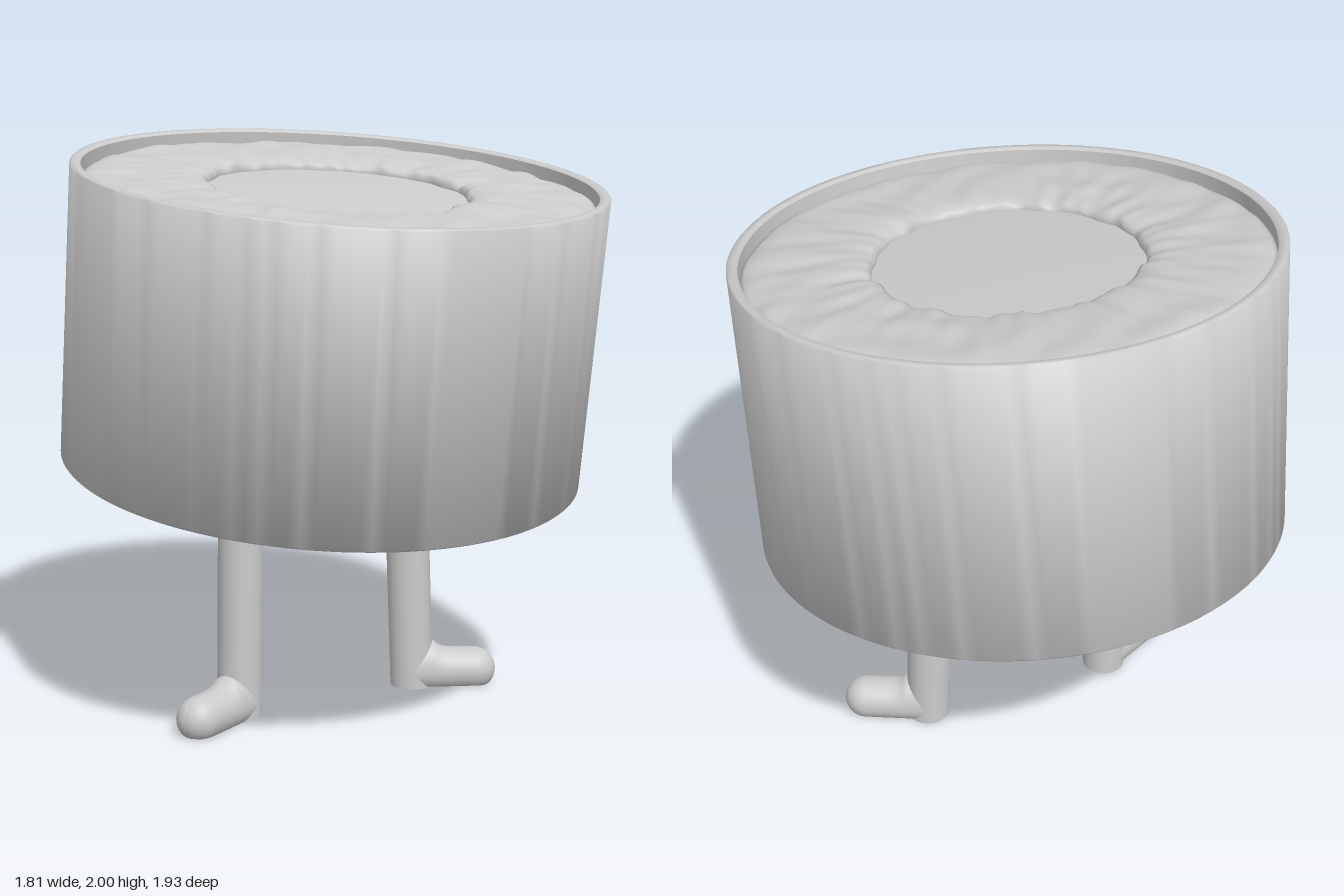
import * as THREE from 'three';
import { mergeVertices, toCreasedNormals } from 'three/addons/utils/BufferGeometryUtils.js';

const R = 0.905;      // wrapper radius
const H = 0.507;      // half height of the roll
const TILT = 0.139;   // lean toward the front

const material = new THREE.MeshStandardMaterial({ color: 0xcccccc });
const v2 = (pairs) => pairs.map(([x, y]) => new THREE.Vector2(x, y));

function mesh(name, geometry) {
  const m = new THREE.Mesh(geometry, material);
  m.name = name;
  return m;
}

// Open-ended tube with a softened rim
function wrapperGeometry() {
  const inner = 0.868;
  const profile = v2([
    [inner, -H + 0.008], [inner + 0.01, -H], [R - 0.006, -H], [R, -H + 0.006],
    [R, H - 0.006], [R - 0.006, H], [inner + 0.01, H], [inner, H - 0.008],
    [inner, -H + 0.008],
  ]);
  return toCreasedNormals(new THREE.LatheGeometry(profile, 128), 0.8);
}

// Lumpy ring with radial wrinkles and a ragged inner edge
function riceGeometry() {
  const profile = [[0.872, H - 0.1]];
  const steps = 28, rOut = 0.866, rIn = 0.445;
  for (let i = 0; i <= steps; i++) {
    const t = i / steps;
    const edge = Math.pow(Math.abs(2 * t - 1), 6);
    profile.push([rOut + (rIn - rOut) * t, H - 0.03 - 0.025 * edge]);
  }
  profile.push([0.443, H - 0.075], [0.45, H - 0.12]);
  let g = new THREE.LatheGeometry(v2(profile), 220);
  g.deleteAttribute('uv');
  g.deleteAttribute('normal');
  g = mergeVertices(g, 1e-4);
  const p = g.attributes.position;
  for (let i = 0; i < p.count; i++) {
    const x = p.getX(i), y = p.getY(i), z = p.getZ(i);
    const r = Math.hypot(x, z), a = Math.atan2(z, x);
    const t = THREE.MathUtils.clamp((rOut - r) / (rOut - rIn), 0, 1);
    const wrinkle = Math.sin(17 * a + 5 * r + 2 * Math.sin(3 * a))
      + 0.7 * Math.sin(29 * a - 9 * r + 1.5 * Math.sin(5 * a))
      + 0.5 * Math.sin(43 * a + 14 * r);
    const lumps = Math.sin(13 * x + 2 * Math.sin(9 * z)) * Math.sin(14 * z + 1.7 * Math.sin(8 * x));
    const ragged = Math.sin(7 * a + 1) * Math.sin(4 * a) + 0.5 * Math.sin(19 * a) * Math.sin(3 * a + 2);
    const s = (r + 0.009 * ragged * t * t * t) / r;
    const lift = y > H - 0.07 ? 0.0035 * wrinkle * (0.4 + 0.6 * t) + 0.006 * lumps : 0;
    p.setXYZ(i, x * s, y + lift, z * s);
  }
  g.computeVertexNormals();
  return g;
}

// Core with gently domed ends
function fillingGeometry() {
  const y = H - 0.072, r = 0.47, half = [];
  for (let i = 0; i <= 8; i++) {
    const t = i / 8;
    half.push([r * t, y + 0.012 * (1 - t * t)]);
  }
  const profile = [...half.map(([x, h]) => [x, -h]), ...half.slice().reverse()];
  return toCreasedNormals(new THREE.LatheGeometry(v2(profile), 80), 0.7);
}

// Capsule with a flattened sole and a fillet rising into the ankle
function footGeometry(radius, length) {
  const g = new THREE.CapsuleGeometry(radius, length, 10, 36, 20);
  g.rotateZ(-Math.PI / 2);
  g.translate(length / 2, 0.058, 0);
  const p = g.attributes.position;
  for (let i = 0; i < p.count; i++) {
    let y = p.getY(i);
    const d = p.getX(i);
    const up = Math.max(0, (y - 0.058) / radius);
    if (d > 0) y += up * 0.03 * Math.exp(-Math.max(0, d - radius) / 0.022);
    p.setY(i, Math.max(0.004, y));
  }
  return toCreasedNormals(g, 0.7);
}

// One leg: slightly leaning tube plus an outward-turned foot
function buildLeg(side) {
  const leg = new THREE.Group();
  leg.name = side > 0 ? 'leftLeg' : 'rightLeg';
  const radius = 0.078;
  const ankle = new THREE.Vector3(side * 0.356, 0.004, -0.018);
  const hip = new THREE.Vector3(side * 0.33, 0.97, -0.04);

  // Sheared so the sole stays level
  const height = hip.y - ankle.y;
  const tube = new THREE.CylinderGeometry(radius, radius, height, 36);
  tube.translate(0, height / 2, 0);
  const p = tube.attributes.position;
  for (let i = 0; i < p.count; i++) {
    const t = p.getY(i) / height;
    p.setX(i, p.getX(i) + (hip.x - ankle.x) * t);
    p.setZ(i, p.getZ(i) + (hip.z - ankle.z) * t);
  }
  const shin = mesh('shin', tube);
  shin.position.copy(ankle);

  const foot = mesh('foot', footGeometry(radius, 0.228));
  foot.position.set(ankle.x, 0, ankle.z);
  foot.rotation.y = side > 0 ? -0.45 : Math.PI + 0.45;
  leg.add(shin, foot);
  return leg;
}

export function createModel() {
  const model = new THREE.Group();
  model.name = 'walkingRoll';

  // Leaning body
  const body = new THREE.Group();
  body.name = 'roll';
  body.position.y = 1.373;
  body.rotation.x = TILT;
  body.add(mesh('wrapper', wrapperGeometry()), mesh('filling', fillingGeometry()));
  const rice = riceGeometry();
  const riceTop = mesh('riceTop', rice);
  const riceBottom = mesh('riceBottom', rice);
  riceBottom.rotation.x = Math.PI;
  body.add(riceTop, riceBottom);
  model.add(body);

  for (const side of [1, -1]) model.add(buildLeg(side));
  return model;
}
